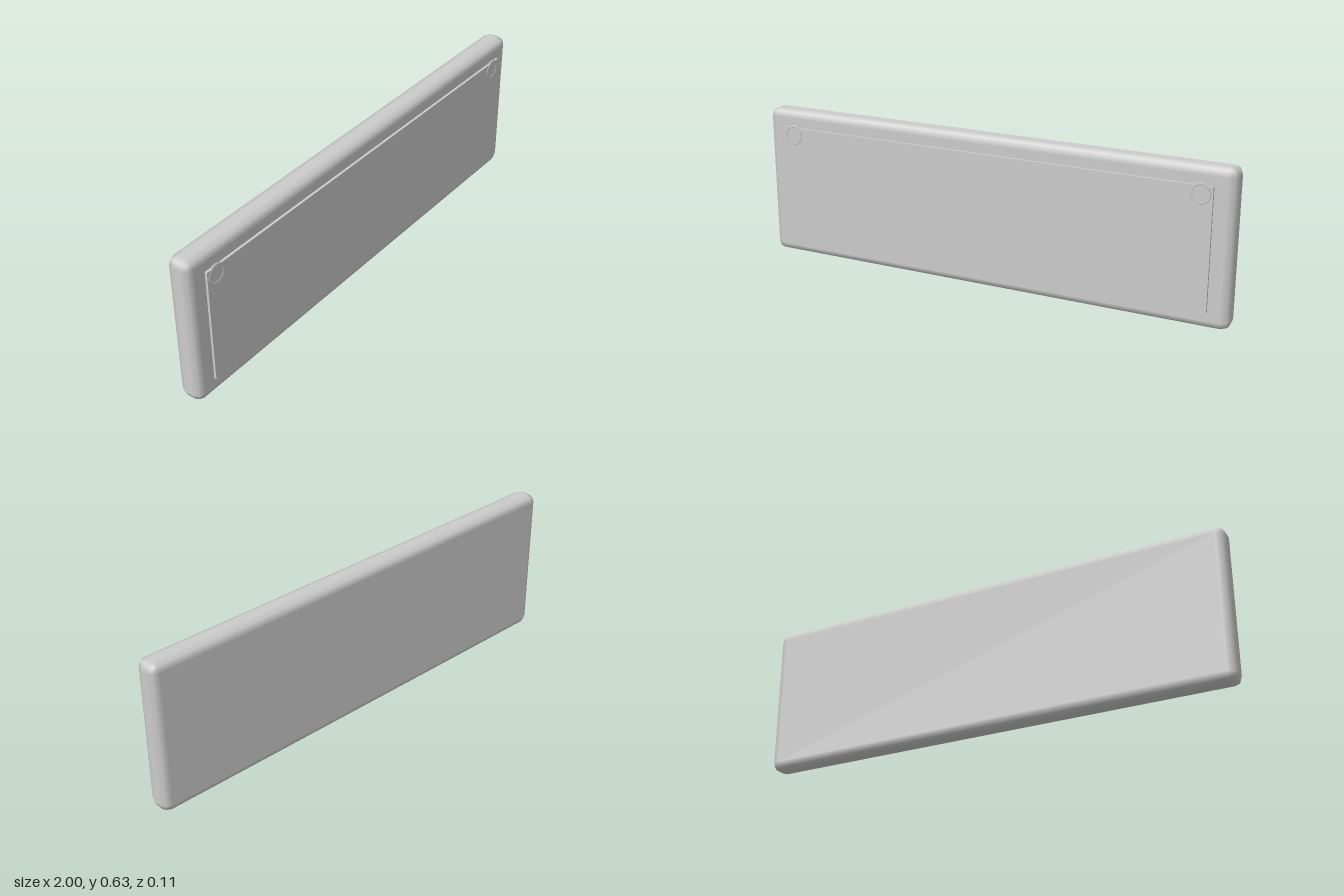
import * as THREE from 'three';

const material = new THREE.MeshStandardMaterial({ color: 0xcccccc });

function addPart(group, name, geometry, x, y, z) {
  const mesh = new THREE.Mesh(geometry, material);
  mesh.name = name;
  mesh.position.set(x, y, z);
  group.add(mesh);
  return mesh;
}

// Box with two-step rounded edges and flat faces
function bevelledBox(width, height, depth, radius) {
  const geometry = new THREE.BoxGeometry(1, 1, 1, 3, 3, 3);
  const pos = geometry.attributes.position;
  const normal = geometry.attributes.normal;
  const core = new THREE.Vector3(width / 2 - radius, height / 2 - radius, depth / 2 - radius);
  const p = new THREE.Vector3();
  const dir = new THREE.Vector3();
  const outward = (c) => (Math.abs(c) > 0.3 ? Math.sign(c) : 0);
  for (let i = 0; i < pos.count; i++) {
    p.fromBufferAttribute(pos, i);
    dir.set(outward(p.x), outward(p.y), outward(p.z)).normalize();
    p.set(Math.sign(p.x), Math.sign(p.y), Math.sign(p.z)).multiply(core).addScaledVector(dir, radius);
    pos.setXYZ(i, p.x, p.y, p.z);
    normal.setXYZ(i, dir.x, dir.y, dir.z);
  }
  return geometry;
}

export function createModel() {
  const group = new THREE.Group();
  group.name = 'panelDevice';

  // Rounded slab
  addPart(group, 'body', bevelledBox(2, 0.627, 0.1, 0.034), 0, 0.3135, -0.007);

  // Thin raised plate on the front
  addPart(group, 'frontPlate', new THREE.BoxGeometry(1.836, 0.484, 0.014), 0, 0.314, 0.046);

  // Small rings in the upper corners
  for (const [name, side] of [['leftRing', 1], ['rightRing', -1]]) {
    addPart(group, name, new THREE.TorusGeometry(0.036, 0.007, 4, 16), side * 0.873, 0.525, 0.05);
  }
  return group;
}
